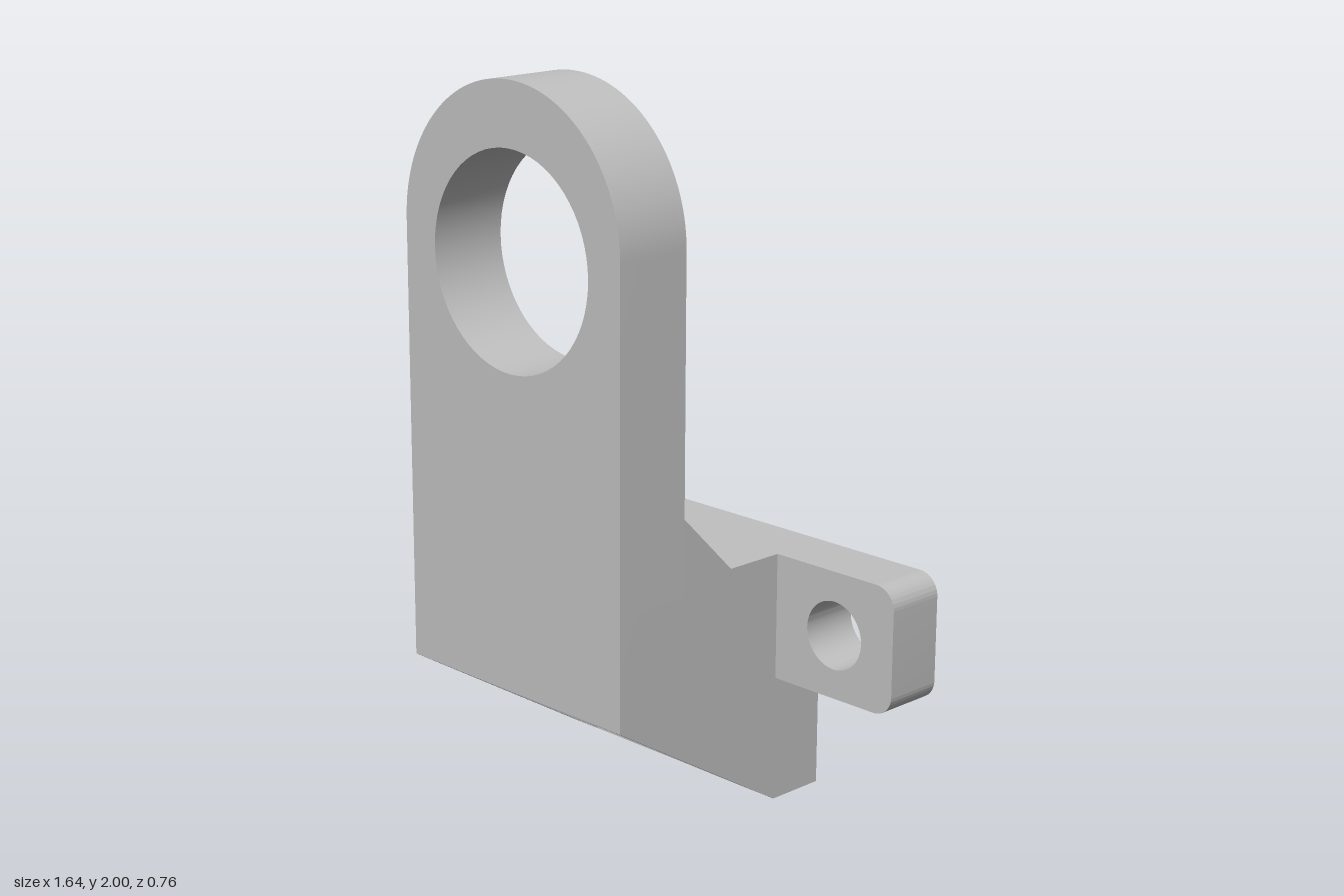
import * as THREE from 'three';
import { toCreasedNormals } from 'three/addons/utils/BufferGeometryUtils.js';

const grey = new THREE.MeshStandardMaterial({ color: 0xc0c0c0 });
grey.name = 'grey';

function circleHole(x, y, r) {
  return new THREE.Path().absarc(x, y, r, 0, Math.PI * 2, true);
}

function extrude(shape, depth) {
  return new THREE.ExtrudeGeometry(shape, { depth, bevelEnabled: false, curveSegments: 32 });
}

function addMesh(group, name, geometry) {
  const mesh = new THREE.Mesh(toCreasedNormals(geometry, 0.5), grey);
  mesh.name = name;
  group.add(mesh);
}

// Side profile of [z, y] points, extruded across from x0 to x1
function sideProfile(points, x0, x1) {
  const shape = new THREE.Shape(points.map(([z, y]) => new THREE.Vector2(z, y)));
  return extrude(shape, x1 - x0).rotateY(-Math.PI / 2).translate(x1, 0, 0);
}

export function createModel() {
  const group = new THREE.Group();
  group.name = 'mountingBracket';
  const w = 0.41, front = 0.38, back = -0.38, plateFront = -0.205;
  const low = 0.355, top = 0.71, ear = 0.82, r = 0.06;

  // Upright plate with a round top and a large eye
  const eye = new THREE.Shape();
  eye.moveTo(-w, low);
  eye.lineTo(w, low);
  eye.lineTo(w, 2 - w);
  eye.absarc(0, 2 - w, w, 0, Math.PI, false);
  eye.closePath();
  eye.holes.push(circleHole(0, 1.53, 0.295));
  addMesh(group, 'eyePlate', extrude(eye, front - 0.15).translate(0, 0, 0.15));

  // Solid block joining the two plates, with a sloped fillet on top
  addMesh(group, 'joiningBlock', sideProfile(
    [[0.15, low], [0.15, 0.885], [-0.025, top], [plateFront, top], [plateFront, low]], -w, w));

  // T-shaped mounting plate with rounded ears and three screw holes
  const plate = new THREE.Shape();
  plate.moveTo(-w, 0);
  plate.lineTo(w, 0);
  plate.lineTo(w, low);
  plate.lineTo(ear - r, low);
  plate.absarc(ear - r, low + r, r, -Math.PI / 2, 0, false);
  plate.absarc(ear - r, top - r, r, 0, Math.PI / 2, false);
  plate.absarc(-ear + r, top - r, r, Math.PI / 2, Math.PI, false);
  plate.absarc(-ear + r, low + r, r, Math.PI, Math.PI * 1.5, false);
  plate.lineTo(-w, low);
  plate.closePath();
  for (const [x, y] of [[-0.617, 0.532], [0.617, 0.532], [0, 0.15]]) {
    plate.holes.push(circleHole(x, y, 0.095));
  }
  addMesh(group, 'mountingPlate', extrude(plate, plateFront - back).translate(0, 0, back));

  // Triangular ribs either side of the open pocket underneath
  const rib = [[front, low], [plateFront, low], [plateFront, 0]];
  addMesh(group, 'leftRib', sideProfile(rib, 0.293, w));
  addMesh(group, 'rightRib', sideProfile(rib, -w, -0.293));

  return group;
}
